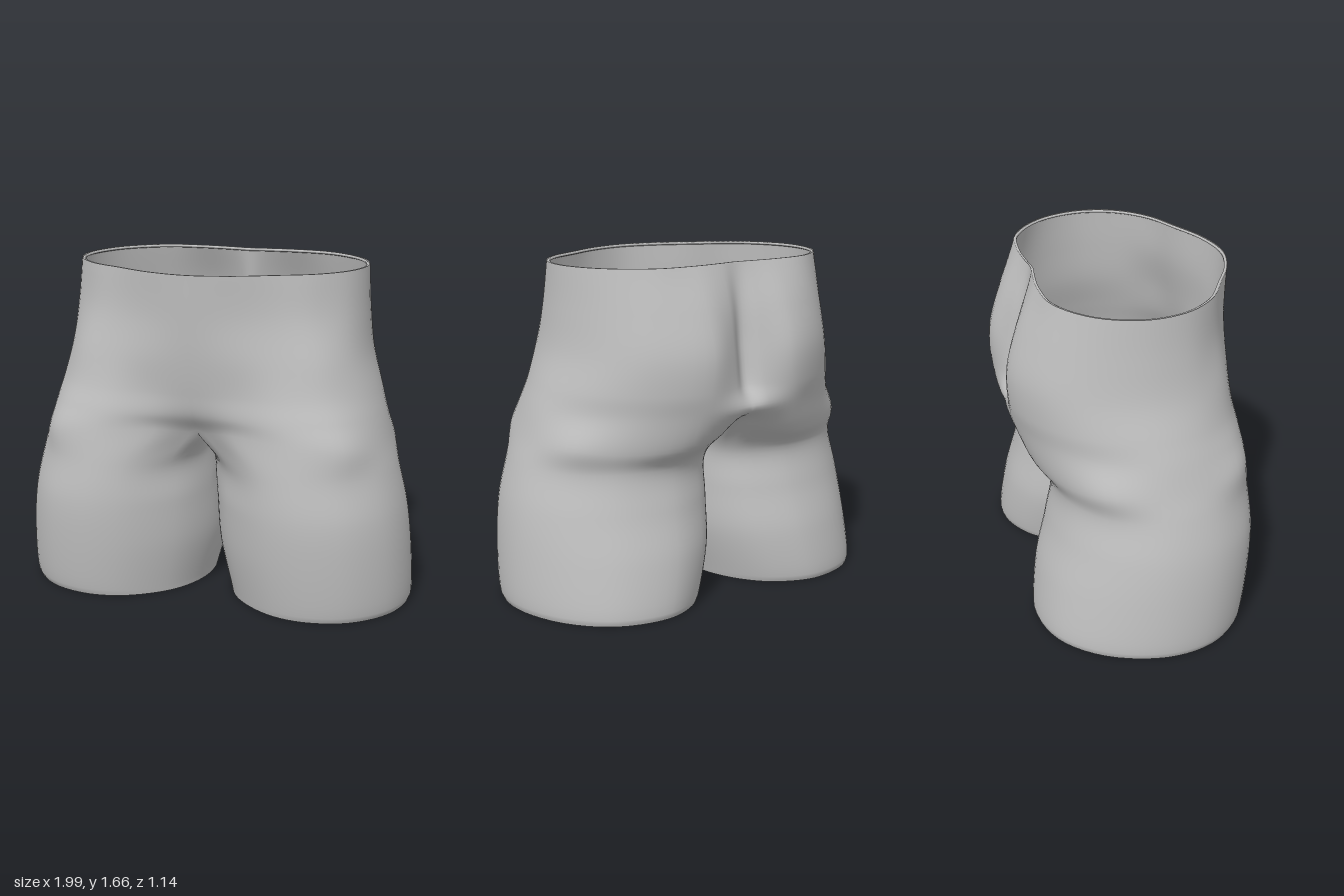
import * as THREE from 'three';
import { mergeVertices } from 'three/addons/utils/BufferGeometryUtils.js';

const V = (x, y, z) => new THREE.Vector3(x, y, z);
const OUTER = 10;   // stations 0..10 run front centre -> side -> back centre
const INNER = 4;    // stations 11..13 close the loop along the inner thigh
const SUB_U = 5, SUB_V = 7;

// Leg section: stations placed by angle on an oval, its front leaning outwards by skew
const ANGLES = [140, 112, 88, 60, 30, 0, -32, -62, -95, -120, -138, -160, 180, 160];
const LEG_Z = .035;
function legRow(y, xIn, xOut, zFront, zBack, skew) {
  const c = (xIn + xOut) / 2, r = (xOut - xIn) / 2;
  return ANGLES.map((deg) => {
    const a = deg * Math.PI / 180, s = Math.sin(a);
    const depth = s > 0 ? zFront - LEG_Z : LEG_Z - zBack;
    return V(c + r * Math.cos(a) + skew * s, y, LEG_Z + s * depth);
  });
}
// Torso section: half outline from front centre to back centre
const torsoRow = (y, pts) => pts.map(([x, z]) => V(x, y, z));

// Crotch section: half outline followed by the seam between the legs
const crotch = [
  [0, .87, .41], [.2, .89, .48], [.49, .87, .53], [.735, .85, .46], [.85, .83, .265], [.882, .82, .02],
  [.81, .82, -.225], [.62, .80, -.375], [.32, .81, -.48], [.1, .86, -.46], [0, .88, -.40],
  [0, .84, -.22], [0, .82, 0], [0, .83, .22],
].map((p) => V(...p));

const rows = [
  legRow(0, .07, .985, .505, -.505, .025),
  legRow(.03, .063, .994, .515, -.513, .03),
  legRow(.27, .005, .988, .55, -.485, .05),
  legRow(.5, -.012, .962, .565, -.425, .055),
  legRow(.7, -.025, .915, .55, -.395, .05),
  crotch,
  torsoRow(.97, [[0, .478], [.22, .505], [.47, .515], [.69, .435], [.81, .25], [.842, .015],
    [.75, -.23], [.565, -.415], [.3, -.535], [.1, -.55], [0, -.545]]),
  torsoRow(1.08, [[0, .505], [.22, .505], [.45, .49], [.65, .41], [.775, .24], [.81, .01],
    [.725, -.25], [.54, -.445], [.27, -.563], [.09, -.53], [0, -.48]]),
  torsoRow(1.25, [[0, .532], [.22, .515], [.43, .465], [.615, .385], [.73, .225], [.762, 0],
    [.685, -.265], [.515, -.46], [.25, -.567], [.09, -.51], [0, -.45]]),
  torsoRow(1.45, [[0, .55], [.2, .515], [.4, .44], [.57, .355], [.7, .21], [.74, 0],
    [.665, -.25], [.49, -.43], [.25, -.51], [.09, -.475], [0, -.43]]),
  torsoRow(1.66, [[0, .565], [.2, .525], [.385, .435], [.565, .335], [.69, .18], [.727, -.015],
    [.65, -.23], [.46, -.385], [.25, -.415], [.09, -.405], [0, -.395]]),
];
const CROTCH = rows.indexOf(crotch);

const mirror = (p) => V(-p.x, p.y, p.z);

// Sample a spline whose first and last points only steer the ends
function sampleSpan(points, segments) {
  const curve = new THREE.CatmullRomCurve3(points);
  const n = segments * SUB_U, out = [];
  for (let i = 0; i <= n; i++) out.push(curve.getPoint((1 + i / SUB_U) / (points.length - 1)));
  return out;
}

// Fine rows of one half: outer strip up to the waist, inner strip up to the crotch
function buildHalf() {
  const column = (k) => new THREE.CatmullRomCurve3(rows.filter((r) => r[k]).map((r) => r[k]));
  const columns = ANGLES.map((_, k) => column(k));
  const outer = [], inner = [];
  const last = (rows.length - 1) * SUB_V, split = CROTCH * SUB_V;
  for (let j = 0; j <= last; j++) {
    const isLeg = j < split;
    const p = columns.map((c, k) => {
      const total = k <= OUTER ? last : split;
      return j <= total ? c.getPoint(j / total) : null;
    });
    // end tangents turn smoothly from leg loop to mirrored torso
    const s = THREE.MathUtils.smoothstep(j, split - SUB_V, split);
    const front = mirror(p[1]), back = mirror(p[9]);
    if (p[13]) front.lerp(p[13], 1 - s);
    if (p[11]) back.lerp(p[11], 1 - s);
    // thighs press flat against each other at the centre
    const clamp = (q) => { q.x = Math.max(q.x, isLeg ? .0008 : 0); return q; };
    const o = sampleSpan([front, ...p.slice(0, 11), back], OUTER).map(clamp);
    outer.push(o);
    if (j <= split) {
      const line = sampleSpan([p[9], p[10], p[11], p[12], p[13], p[0], p[1]], INNER).map(clamp);
      if (j === split) line.forEach((q) => { q.x = 0; });
      line[0].copy(o[o.length - 1]);
      line[line.length - 1].copy(o[0]);
      inner.push(line);
    }
  }
  return { outer, inner };
}

// Turn grids into one welded surface, mirrored over x
function skin(grids) {
  const pos = [], index = [];
  for (const side of [1, -1]) {
    for (const grid of grids) {
      const base = pos.length / 3, w = grid[0].length;
      grid.forEach((row) => row.forEach((p) => pos.push(side * p.x, p.y, p.z)));
      for (let j = 0; j < grid.length - 1; j++) {
        for (let i = 0; i < w - 1; i++) {
          const a = base + j * w + i, b = a + 1, c = a + w, d = c + 1;
          if (side > 0) index.push(a, b, c, b, d, c);
          else index.push(a, c, b, b, c, d);
        }
      }
    }
  }
  let geo = new THREE.BufferGeometry();
  geo.setAttribute('position', new THREE.Float32BufferAttribute(pos, 3));
  geo.setIndex(index);
  geo = mergeVertices(geo, 1e-4);
  geo.computeVertexNormals();
  return geo;
}

// Thin rolled edge, set just inside an opening
function hem(loop, cx, y) {
  const pts = loop.map((p) => V(cx + (p.x - cx) * .985, y, p.z * .985));
  return new THREE.TubeGeometry(new THREE.CatmullRomCurve3(pts, true), 140, .008, 6, true);
}

export function createModel() {
  const group = new THREE.Group();
  const cloth = new THREE.MeshStandardMaterial({ color: 0xc0c0c0, side: THREE.DoubleSide });
  cloth.name = 'light grey';
  const add = (geo, name) => {
    const mesh = new THREE.Mesh(geo, cloth);
    mesh.name = name;
    group.add(mesh);
  };

  const { outer, inner } = buildHalf();
  add(skin([outer, inner]), 'shortsBody');

  // Waist opening
  const top = outer[outer.length - 1];
  add(hem([...top, ...top.slice(1, -1).reverse().map(mirror)], 0, 1.652), 'waistHem');

  // Leg openings
  const leg = [...outer[0], ...inner[0].slice(1, -1)];
  add(hem(leg, .53, .008), 'leftLegHem');
  add(hem(leg.map(mirror), -.53, .008), 'rightLegHem');
  return group;
}
